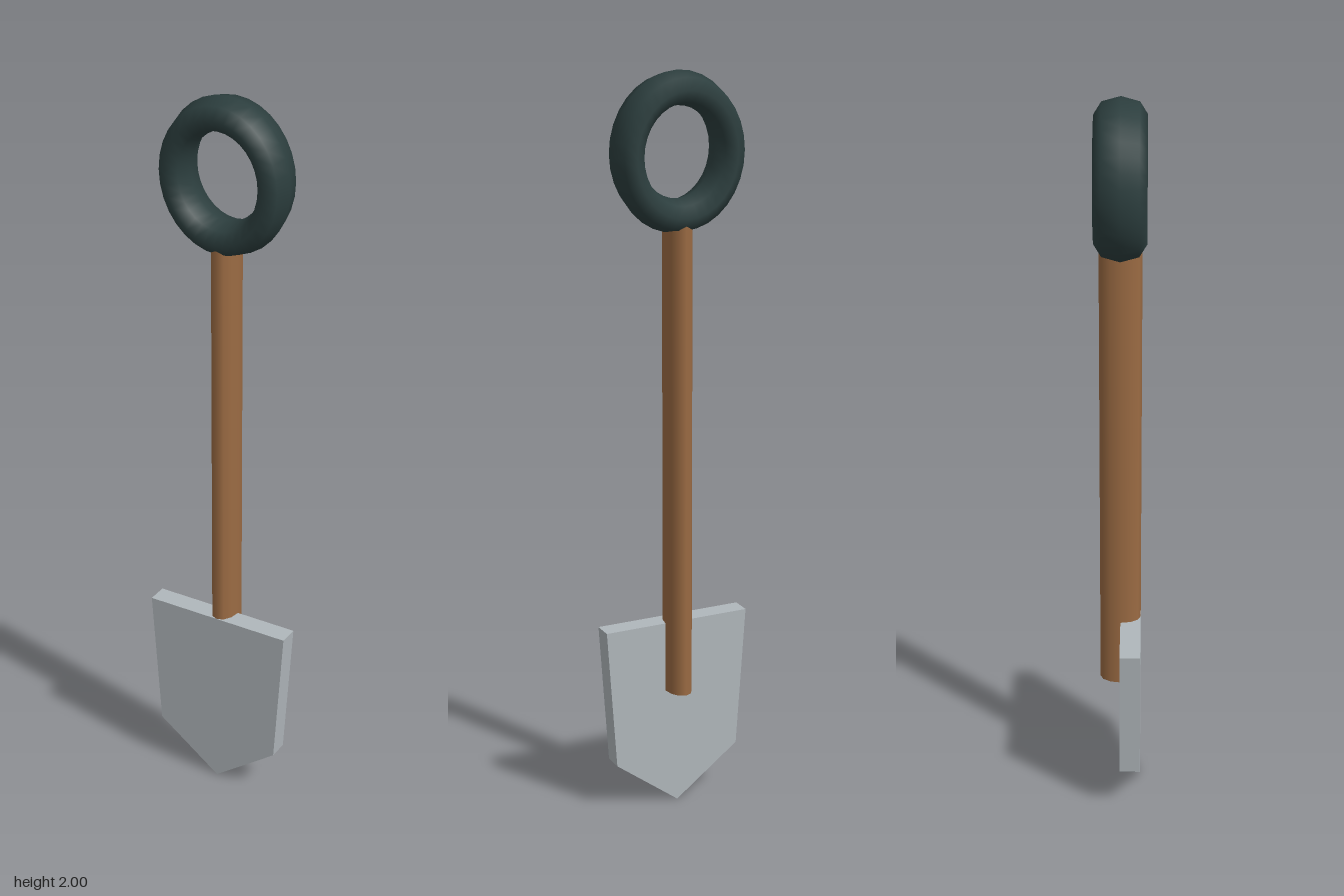
import * as THREE from 'three';

const paint = (name, color) => {
  const m = new THREE.MeshStandardMaterial({ color });
  m.name = name;
  return m;
};

export function createModel() {
  const group = new THREE.Group();
  group.name = 'shovel';
  const grip = paint('dark green grip', 0x2c3e3e);
  const wood = paint('brown wood', 0x9b6b43);
  const steel = paint('light grey steel', 0xb0b7bb);

  const add = (name, geometry, material) => {
    const mesh = new THREE.Mesh(geometry, material);
    mesh.name = name;
    group.add(mesh);
  };

  // Oval ring handle: taller than wide, thick from front to back
  const ring = new THREE.TorusGeometry(0.162, 0.0444, 8, 32);
  ring.scale(0.866, 1, 1.5).translate(0, 1.794, 0);
  add('ringHandle', ring, grip);

  // Oval shaft, its top sunk into the ring and its foot behind the blade
  const bottom = 0.33, top = 1.63;
  const shaft = new THREE.CylinderGeometry(0.055, 0.055, top - bottom, 12);
  shaft.scale(0.63, 1, 1).translate(0, (top + bottom) / 2, 0);
  add('shaft', shaft, wood);

  // Flat pointed blade on the front half of the shaft
  const outline = new THREE.Shape([
    [0, 0], [0.18, 0.135], [0.207, 0.525], [-0.207, 0.525], [-0.18, 0.135],
  ].map(([x, y]) => new THREE.Vector2(x, y)));
  const blade = new THREE.ExtrudeGeometry(outline, { depth: 0.055, bevelEnabled: false });
  add('blade', blade, steel);

  return group;
}
